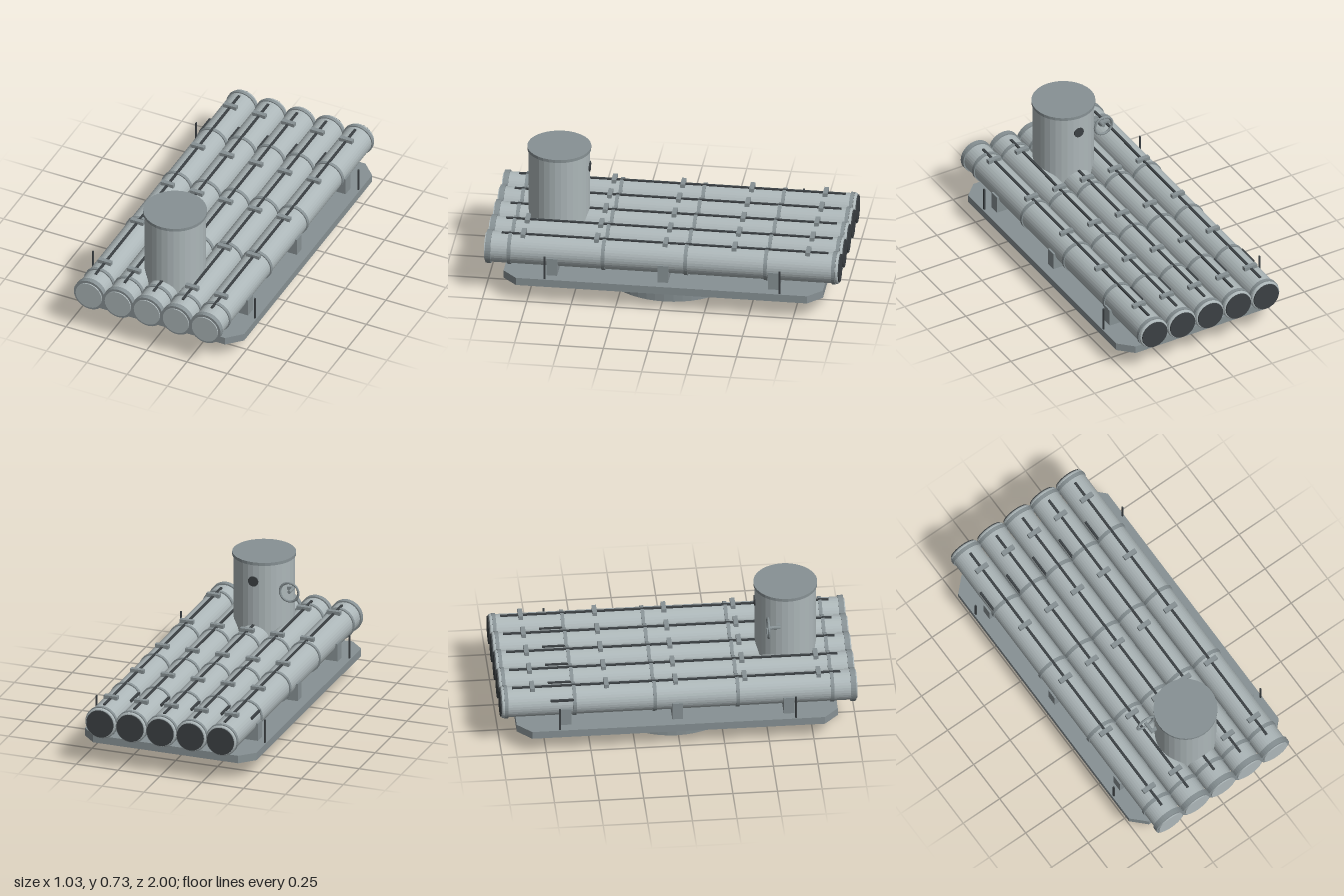
import * as THREE from 'three';

export function createModel() {
  const model = new THREE.Group();
  const paint = (color) => new THREE.MeshStandardMaterial({ color, flatShading: true });
  const light = paint(0xadb7b9), mid = paint(0x879194), dark = paint(0x3c4144);

  const add = (name, geometry, material, x, y, z, parent = model) => {
    const mesh = new THREE.Mesh(geometry, material);
    mesh.name = name;
    mesh.position.set(x, y, z);
    parent.add(mesh);
    return mesh;
  };
  const box = (w, h, d) => new THREE.BoxGeometry(w, h, d);
  const cyl = (r, h, n = 32) => new THREE.CylinderGeometry(r, r, h, n);
  const cylZ = (r, h, n = 32) => cyl(r, h, n).rotateX(Math.PI / 2);

  // Turntable and its ring of rollers
  add('turntable', cyl(0.395, 0.1, 48), mid, 0, 0.05, -0.01);
  for (let i = 0; i < 24; i++) {
    const a = (i / 24) * Math.PI * 2;
    add('roller', cyl(0.011, 0.012, 10), dark, Math.sin(a) * 0.36, 0.104, -0.01 + Math.cos(a) * 0.36);
  }

  // Deck plate with chamfered corners
  const w = 0.513, l = 0.9, c = 0.08;
  const outline = new THREE.Shape([
    [-w + c, -l], [w - c, -l], [w, -l + c], [w, l - c],
    [w - c, l], [-w + c, l], [-w, l - c], [-w, -l + c],
  ].map(([x, y]) => new THREE.Vector2(x, y)));
  const deck = new THREE.ExtrudeGeometry(outline, { depth: 0.045, bevelEnabled: false });
  add('deck', deck.rotateX(-Math.PI / 2), mid, 0, 0.107, -0.01);

  // Cradles under the tubes
  for (const z of [0.615, -0.01, -0.635]) add('cradle', box(0.916, 0.105, 0.06), mid, 0, 0.2025, z);

  // Thin posts on the deck edges
  for (const x of [-0.503, 0.503])
    for (const z of [0.65, -0.675]) add('post', box(0.008, 0.14, 0.01), dark, x, 0.22, z);

  // Launch tubes: body with a rounded rear lip, then flange, lids, bands and rails
  const profile = [
    [0, -0.994], [0.083, -0.994], [0.088, -0.991], [0.09, -0.985], [0.09, -0.98], [0.087, -0.978],
    [0.087, 0.97], [0, 0.97],
  ].map(([r, y]) => new THREE.Vector2(r, y));
  const bodyGeometry = new THREE.LatheGeometry(profile, 36).rotateX(Math.PI / 2);
  const flangeGeometry = cylZ(0.095, 0.03, 36);
  const lidGeometry = cylZ(0.08, 0.01, 36);
  const bandGeometry = cylZ(0.0935, 0.02, 36);
  const clampGeometry = box(0.08, 0.022, 0.026);

  for (let i = -2; i <= 2; i++) {
    const tube = new THREE.Group();
    tube.name = 'launchTube';
    tube.position.set(i * 0.18, 0.262, 0);
    add('tubeBody', bodyGeometry, light, 0, 0, 0, tube);
    add('frontFlange', flangeGeometry, mid, 0, 0, 0.978, tube);
    add('frontLid', lidGeometry, light, 0, 0, 0.995, tube);
    add('rearLid', lidGeometry, dark, 0, 0, -0.995, tube);
    for (const z of [0.86, 0.33, -0.135, -0.585, -0.967]) add('band', bandGeometry, mid, 0, 0, z, tube);
    add('topRail', box(0.014, 0.014, 1.84), dark, 0, 0.087, -0.01, tube);
    for (const z of [0.787, 0.373, -0.015, -0.403, -0.818]) add('clamp', clampGeometry, mid, 0, 0.094, z, tube);
    add('sideRail', box(0.012, 0.012, 0.13), dark, -0.079, 0.042, -0.655, tube);
    model.add(tube);
  }

  // Tower with lid, rear port and handwheel
  const tower = new THREE.Group();
  tower.name = 'tower';
  tower.position.set(0, 0, 0.635);
  add('towerBody', cyl(0.172, 0.455), light, 0, 0.4875, 0, tower);
  add('towerLid', cyl(0.179, 0.018), mid, 0, 0.724, 0, tower);
  add('rearPort', cylZ(0.03, 0.012, 20), dark, 0, 0.615, -0.17, tower);
  add('handwheel', new THREE.TorusGeometry(0.055, 0.007, 8, 32), mid, -0.193, 0.555, -0.113, tower);
  add('wheelShaft', cylZ(0.01, 0.07, 12), mid, -0.193, 0.555, -0.08, tower);
  add('shaftBracket', box(0.045, 0.018, 0.018), mid, -0.175, 0.555, -0.053, tower);
  model.add(tower);

  return model;
}
